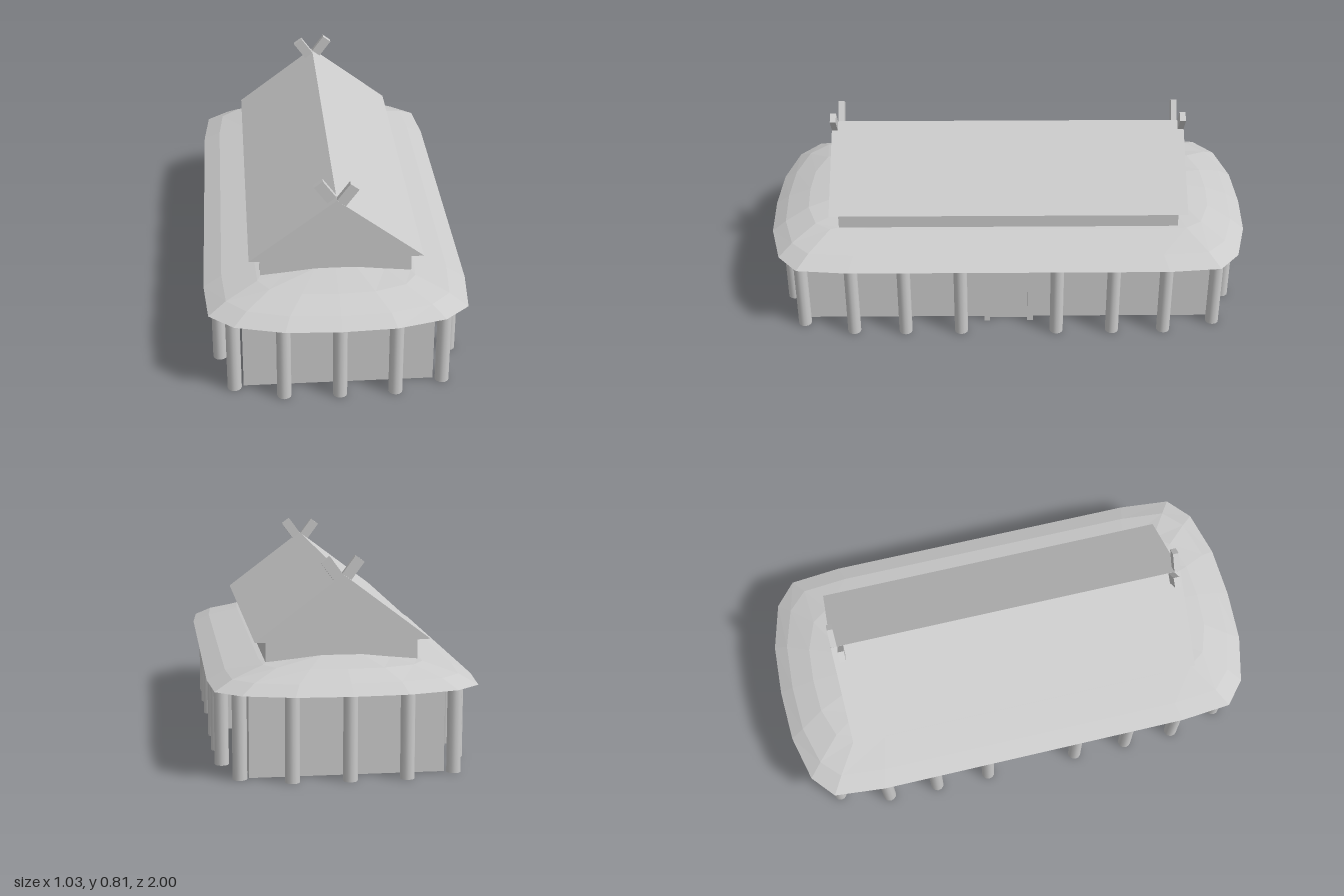
import * as THREE from 'three';

const material = new THREE.MeshStandardMaterial({ color: 0xcccccc, flatShading: true, side: THREE.DoubleSide });
const smooth = new THREE.MeshStandardMaterial({ color: 0xcccccc, side: THREE.DoubleSide });

export function createModel() {
  const model = new THREE.Group();

  function add(name, geometry, x = 0, y = 0, z = 0, mat = material) {
    const mesh = new THREE.Mesh(geometry, mat);
    mesh.name = name;
    mesh.position.set(x, y, z);
    model.add(mesh);
    return mesh;
  }
  const polygon = pts => new THREE.Shape(pts.map(p => new THREE.Vector2(...p)));
  const extrude = (shape, depth) => new THREE.ExtrudeGeometry(shape, { depth, bevelEnabled: false });

  // Hollow lower hall and the narrower upper storey: long side walls
  function sideWalls(name, halfX, halfZ, bottom, top) {
    for (const s of [-1, 1]) {
      const wall = add(name, new THREE.PlaneGeometry(2 * halfZ, top - bottom), s * halfX, (top + bottom) / 2, 0);
      wall.rotation.y = s * Math.PI / 2;
    }
  }
  sideWalls('hallSideWall', 0.37, 0.85, 0, 0.335);
  sideWalls('upperSideWall', 0.293, 0.7, 0.335, 0.489);

  // End walls, the upper ones with gables
  const gable = polygon([[-0.293, 0.335], [0.293, 0.335], [0.293, 0.489], [0.235, 0.489], [0, 0.67], [-0.235, 0.489], [-0.293, 0.489]]);
  for (const s of [-1, 1]) {
    const end = add('hallEndWall', new THREE.PlaneGeometry(0.74, 0.335), 0, 0.1675, s * 0.85);
    const upper = add('gableWall', new THREE.ShapeGeometry(gable), 0, 0, s * 0.7);
    end.rotation.y = upper.rotation.y = s < 0 ? Math.PI : 0;
  }

  // Pitched main roof
  const chevron = polygon([[-0.336, 0.49], [-0.233, 0.487], [0, 0.663], [0.233, 0.487], [0.336, 0.49], [0, 0.743]]);
  add('mainRoof', extrude(chevron, 1.466), 0, 0, -0.733);

  // Crossed boards at both ends of the ridge
  for (const end of [-1, 1]) {
    for (const s of [-1, 1]) {
      const board = add('crossedBoard', new THREE.BoxGeometry(0.042, 0.12, 0.024), s * 0.032, 0.75, end * (s > 0 ? 0.72 : 0.694));
      board.rotation.z = -s * 0.635;
    }
  }

  // Closed, domed skirt roof: rings of a quarter outline, mirrored to a full loop
  const rings = [
    [[0, 0.334, 1], [0.21, 0.334, 0.99], [0.40, 0.334, 0.942], [0.495, 0.334, 0.86], [0.514, 0.334, 0.65]],
    [[0, 0.37, 0.945], [0.19, 0.37, 0.935], [0.35, 0.37, 0.89], [0.427, 0.37, 0.815], [0.443, 0.37, 0.63]],
    [[0, 0.406, 0.85], [0.14, 0.406, 0.842], [0.26, 0.406, 0.8], [0.305, 0.406, 0.735], [0.312, 0.404, 0.6]],
    [[0, 0.431, 0.698], [0.08, 0.43, 0.698], [0.19, 0.418, 0.698], [0.292, 0.408, 0.698], [0.292, 0.407, 0.58]],
    [[0, 0.434, 0.62], [0.03, 0.434, 0.62], [0.06, 0.434, 0.61], [0.07, 0.434, 0.59], [0.07, 0.434, 0.5]],
    Array(5).fill([0, 0.434, 0.5]),
  ].map(quarter => {
    const right = [...quarter, ...quarter.slice().reverse().map(([x, y, z]) => [x, y, -z])];
    return [...right, ...right.slice(1, -1).reverse().map(([x, y, z]) => [-x, y, z])];
  });
  const count = rings[0].length;
  const index = [];
  for (let r = 0; r < rings.length - 1; r++) {
    for (let i = 0; i < count; i++) {
      const a = r * count + i, b = r * count + (i + 1) % count;
      index.push(a, b, b + count, a, b + count, a + count);
    }
  }
  const skirt = new THREE.BufferGeometry();
  skirt.setAttribute('position', new THREE.Float32BufferAttribute(rings.flat(2), 3));
  skirt.setIndex(index);
  skirt.computeVertexNormals();
  add('skirtRoof', skirt);

  // Open tubular posts all around the hall
  const post = new THREE.CylinderGeometry(0.0275, 0.0275, 0.338, 12, 1, true);
  const spots = [[0, 0.927], [0.215, 0.922], [0.405, 0.857], [0.46, 0.645], [0.463, 0.43], [0.463, 0.198]];
  for (const [x, z] of spots) {
    for (const sx of x ? [-1, 1] : [1]) {
      for (const sz of [-1, 1]) add('post', post, sx * x, 0.169, sz * z, smooth);
    }
  }

  // Doorway on the left long side: frame, leaf and a bottomless porch box inside
  const jambs = polygon([[-0.103, 0], [-0.078, 0], [-0.078, 0.255], [0.078, 0.255], [0.078, 0],
    [0.103, 0], [0.103, 0.28], [-0.103, 0.28]]);
  add('doorFrame', extrude(jambs, 0.03), 0.37, 0, 0).rotation.y = Math.PI / 2;
  add('door', new THREE.PlaneGeometry(0.156, 0.255), 0.378, 0.1275, 0).rotation.y = Math.PI / 2;
  const porch = new THREE.BoxGeometry(0.07, 0.28, 0.206);
  const faces = Array.from(porch.index.array);
  porch.setIndex([...faces.slice(6, 18), ...faces.slice(24)]);
  add('innerPorch', porch, 0.335, 0.14, 0);

  return model;
}
